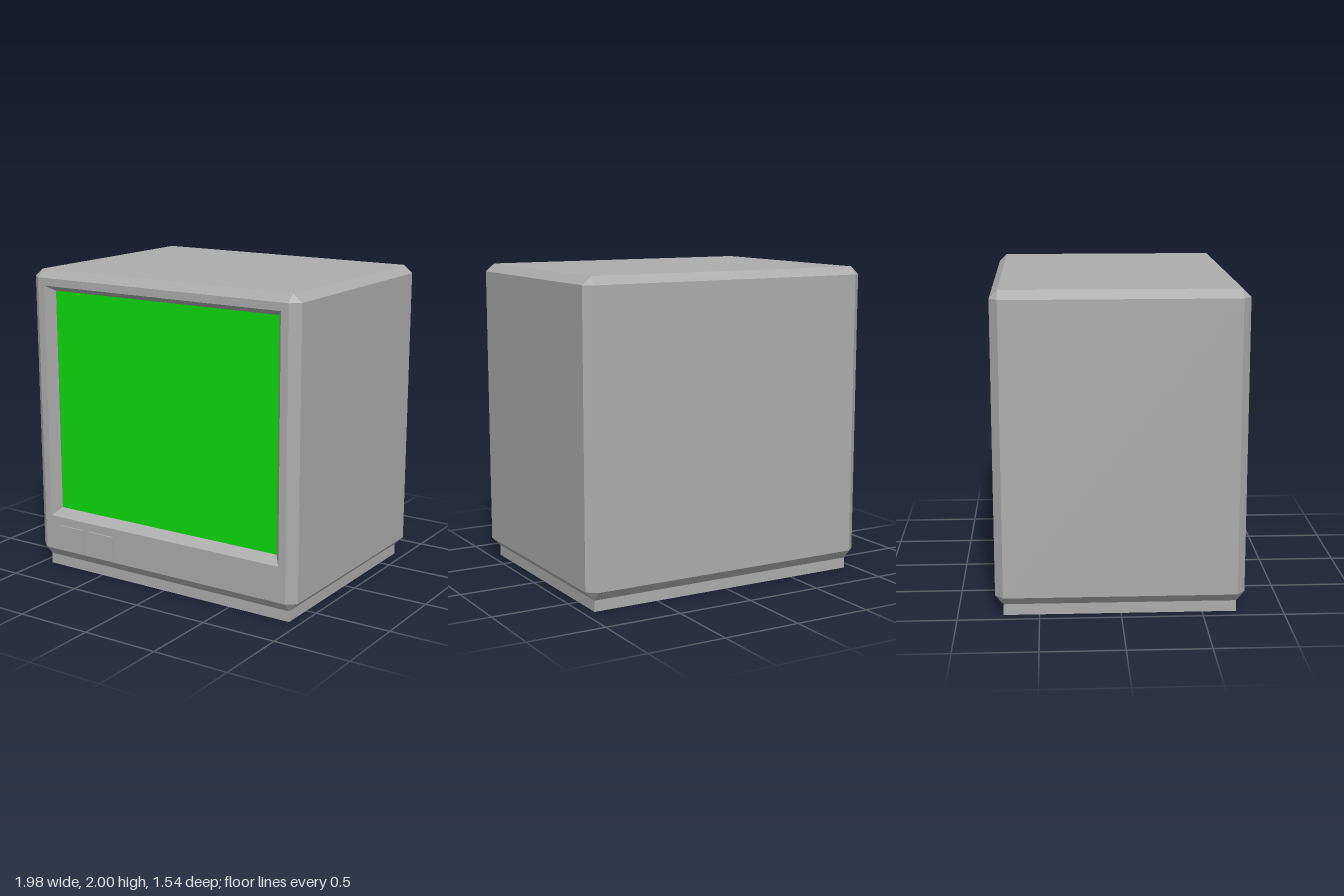
import * as THREE from 'three';
import { ConvexGeometry } from 'three/addons/geometries/ConvexGeometry.js';

const FRONT = 0.76, RECESS = 0.08;
const hole = [[-0.88, 0.36], [0.88, 0.36], [0.88, 1.9], [-0.88, 1.9]];
const screenRect = [[-0.85, 0.4], [0.82, 0.4], [0.82, 1.86], [-0.85, 1.86]];

function flatGeometry(positions) {
  const g = new THREE.BufferGeometry();
  g.setAttribute('position', new THREE.Float32BufferAttribute(positions, 3));
  g.computeVertexNormals();
  return g;
}

// Box with chamfered edges and an open front face
function shellGeometry() {
  const xs = [[-0.99, -0.93], [0.99, 0.93]];
  const ys = [[0.07, 0.13], [2, 1.95]];
  const zs = [[-0.77, -0.72], [FRONT, 0.71]];
  const points = [];
  for (const [xo, xi] of xs) for (const [yo, yi] of ys) for (const [zo, zi] of zs) {
    points.push(
      new THREE.Vector3(xo, yi, zi),
      new THREE.Vector3(xi, yo, zi),
      new THREE.Vector3(xi, yi, zo)
    );
  }
  const p = new ConvexGeometry(points).getAttribute('position').array;
  const kept = [];
  for (let i = 0; i < p.length; i += 9) {
    const onFront = [2, 5, 8].every((k) => p[i + k] > FRONT - 0.005);
    if (!onFront) kept.push(...p.slice(i, i + 9));
  }
  return flatGeometry(kept);
}

const rectShape = (pts) => new THREE.Shape(pts.map(([x, y]) => new THREE.Vector2(x, y)));

export function createModel() {
  const model = new THREE.Group();
  const grey = new THREE.MeshStandardMaterial({ color: 0xacacac });
  grey.name = 'casing grey';
  const green = new THREE.MeshStandardMaterial({ color: 0x0eda0e });
  green.name = 'screen green';

  const add = (name, geometry, material, x = 0, y = 0, z = 0) => {
    const mesh = new THREE.Mesh(geometry, material);
    mesh.name = name;
    mesh.position.set(x, y, z);
    model.add(mesh);
  };

  add('casing', shellGeometry(), grey);

  // Front panel with the screen opening
  const panel = rectShape([[-0.93, 0.13], [0.93, 0.13], [0.93, 1.95], [-0.93, 1.95]]);
  panel.holes.push(rectShape(hole));
  add('frontBezel', new THREE.ShapeGeometry(panel), grey, 0, 0, FRONT);

  // Sloping walls from the opening back to the screen
  const walls = [];
  for (let i = 0; i < 4; i++) {
    const j = (i + 1) % 4;
    const a = [...hole[i], FRONT], b = [...hole[j], FRONT];
    const c = [...screenRect[j], FRONT - RECESS], d = [...screenRect[i], FRONT - RECESS];
    walls.push(...a, ...b, ...c, ...a, ...c, ...d);
  }
  add('screenRecess', flatGeometry(walls), grey);
  add('screen', new THREE.ShapeGeometry(rectShape(screenRect)), green, 0, 0, FRONT - RECESS);

  // Two shallow buttons on the lower panel
  [-0.705, -0.463].forEach((x, i) => {
    add(`button${i + 1}`, new THREE.BoxGeometry(0.2, 0.125, 0.023), grey, x, 0.243, FRONT + 0.0015);
  });

  // Plinth under the casing
  add('base', new THREE.BoxGeometry(1.86, 0.075, 1.43), grey, 0, 0.0375, -0.005);

  return model;
}
